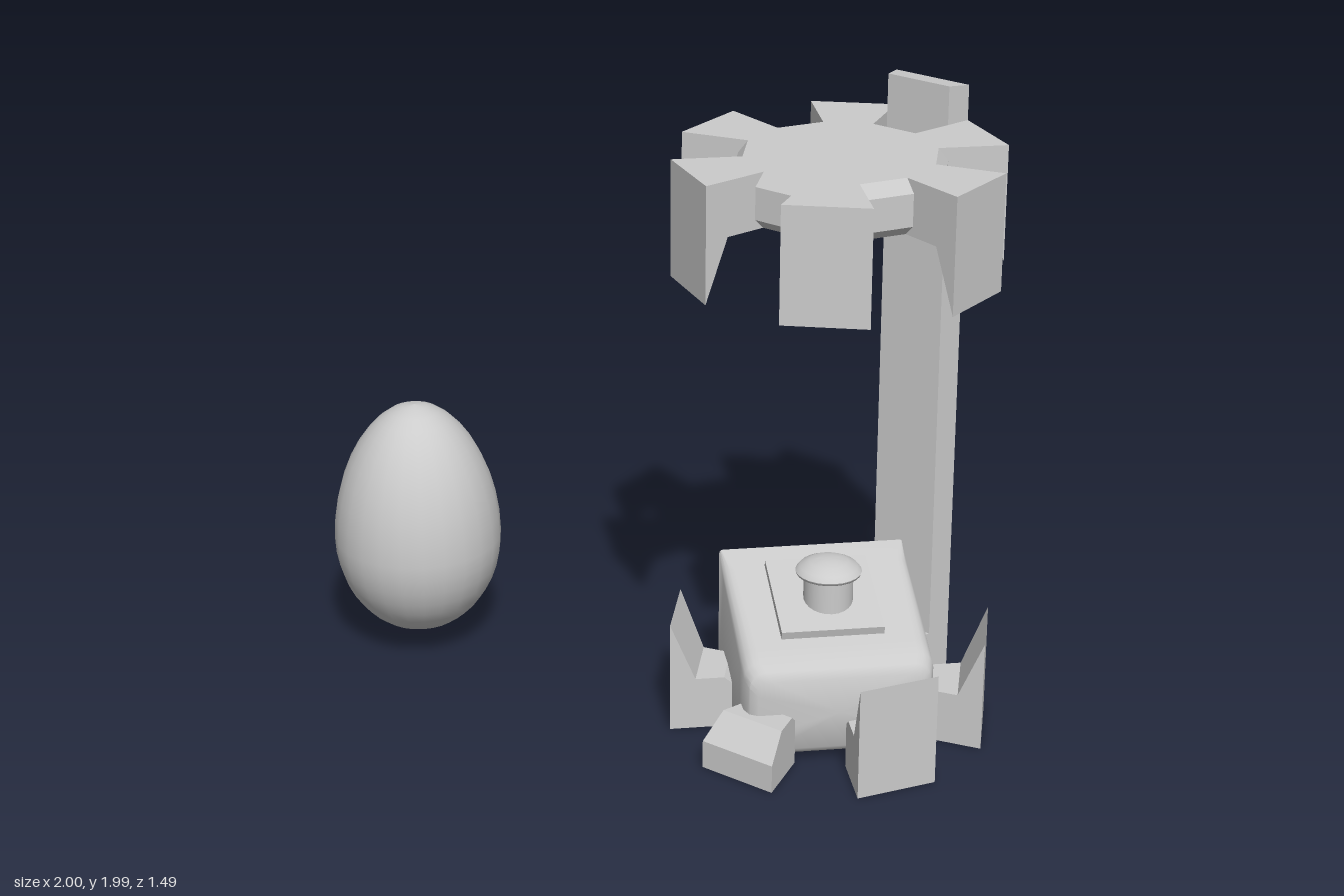
import * as THREE from 'three';
import { toCreasedNormals } from 'three/addons/utils/BufferGeometryUtils.js';

const CX = 0.5, CZ = 0.245, STEP = Math.PI / 6;
const smoothMat = new THREE.MeshStandardMaterial({ color: 0xcccccc });
const flatMat = new THREE.MeshStandardMaterial({ color: 0xcccccc, flatShading: true });

function add(parent, name, geometry, material, x = 0, y = 0, z = 0) {
  const mesh = new THREE.Mesh(geometry, material);
  mesh.name = name;
  mesh.position.set(x, y, z);
  parent.add(mesh);
  return mesh;
}

const vec = (pts) => pts.map(([x, y]) => new THREE.Vector2(x, y));

// Sweeps a (radius, height) profile through one 30 degree side of the twelve-sided ring
function wedge(profile, startStep) {
  const geo = new THREE.ExtrudeGeometry(new THREE.Shape(vec(profile)), { depth: 1, bevelEnabled: false });
  const p = geo.attributes.position;
  for (let i = 0; i < p.count; i++) {
    const r = p.getX(i), a = (startStep + p.getZ(i)) * STEP;
    p.setXYZ(i, r * Math.cos(a), p.getY(i), r * Math.sin(a));
  }
  geo.computeVertexNormals();
  return geo;
}

// Rounded rectangle cross-section at depth z
function section({ z, w, y0, y1, r }) {
  const ring = [];
  for (let c = 0; c < 4; c++) {
    const sx = c === 0 || c === 3 ? 1 : -1, top = c < 2;
    for (let k = 0; k <= 4; k++) {
      const a = (c + k / 4) * Math.PI / 2;
      ring.push([sx * (w - r) + r * Math.cos(a), (top ? y1 - r : y0 + r) + r * Math.sin(a), z]);
    }
  }
  return ring;
}

// Skins the cross-sections, back to front, and closes both ends
function loft(sections) {
  const rings = sections.map(section);
  const closing = (s) => section({ ...s, w: 0, y0: (s.y0 + s.y1) / 2, y1: (s.y0 + s.y1) / 2, r: 0 });
  rings.unshift(closing(sections[0]));
  rings.push(closing(sections[sections.length - 1]));
  const n = rings[0].length, index = [];
  for (let i = 0; i < rings.length - 1; i++) {
    for (let j = 0; j < n; j++) {
      const a = i * n + j, b = i * n + (j + 1) % n;
      index.push(a, b, a + n, b, b + n, a + n);
    }
  }
  const geo = new THREE.BufferGeometry();
  geo.setAttribute('position', new THREE.Float32BufferAttribute(rings.flat(2), 3));
  geo.setIndex(index);
  return toCreasedNormals(geo, 0.7);
}

export function createModel() {
  const model = new THREE.Group();

  // Egg, blunter below than above
  const eggProfile = [];
  for (let i = 0; i <= 20; i++) {
    const a = -Math.PI / 2 + (i / 20) * Math.PI, u = Math.sin(a);
    const taper = u > 0 ? 1 - 0.07 * u * u : 1;
    eggProfile.push([Math.max(0, 0.27 * Math.cos(a) * taper), 0.385 + u * (u > 0 ? 0.455 : 0.325)]);
  }
  add(model, 'egg', new THREE.LatheGeometry(vec(eggProfile), 24), smoothMat, -0.73, 0, -0.475);

  // Upper ring: bevelled hub with six teeth hanging from alternate sides
  const canopy = new THREE.Group();
  canopy.name = 'canopy';
  canopy.position.set(CX, 0, CZ);
  model.add(canopy);
  const hub = [[0, 1.70], [0.29, 1.70], [0.32, 1.73], [0.32, 1.83], [0.29, 1.87], [0, 1.87]];
  add(canopy, 'canopyHub', new THREE.LatheGeometry(vec(hub), 12), flatMat);
  const hanging = [[0.28, 1.70], [0.42, 1.70], [0.5, 1.51], [0.5, 1.87], [0.28, 1.87]];
  for (let i = 0; i < 6; i++) add(canopy, 'canopyTooth', wedge(hanging, 2 * i + 1), flatMat);

  // Lower ring: four tall feet, one low foot, and the post rising from the last side
  const base = new THREE.Group();
  base.name = 'base';
  base.position.set(CX, 0, CZ);
  model.add(base);
  const foot = (outer) => [[0.3, 0], [0.5, 0], ...outer, [0.42, 0.17], [0.33, 0.17], [0.3, 0.145]];
  const tall = foot([[0.5, 0.36]]);
  for (const s of [0, 2, 6, 8]) add(base, 'tallFoot', wedge(tall, s), flatMat);
  add(base, 'lowFoot', wedge(foot([[0.5, 0.09]]), 4), flatMat);
  add(base, 'post', wedge(foot([[0.5, 1.98], [0.42, 1.99]]), 10), flatMat);

  // Box with a sloping top, square at the back and rounded at the front
  const body = loft([
    { z: -0.04, w: 0.295, y0: 0.02, y1: 0.472, r: 0.012 },
    { z: 0.05, w: 0.295, y0: 0.015, y1: 0.445, r: 0.035 },
    { z: 0.4, w: 0.295, y0: 0.015, y1: 0.345, r: 0.05 },
    { z: 0.46, w: 0.293, y0: 0.018, y1: 0.326, r: 0.05 },
    { z: 0.492, w: 0.28, y0: 0.03, y1: 0.308, r: 0.05 },
    { z: 0.507, w: 0.255, y0: 0.05, y1: 0.28, r: 0.045 },
  ]);
  add(model, 'boxBody', body, smoothMat, 0.49, 0, 0);

  // Tilted lid panel
  const lid = add(model, 'lidPanel', new THREE.BoxGeometry(0.32, 0.032, 0.34), flatMat, 0.487, 0.409, 0.207);
  lid.rotation.x = 0.265;

  // Mushroom knob
  const stem = [[0.077, 0.38], [0.077, 0.5]];
  add(model, 'knobStem', new THREE.LatheGeometry(vec(stem), 24), smoothMat, 0.495, 0, 0.23);
  const cap = [[0, 0.497], [0.08, 0.497], [0.1, 0.506], [0.103, 0.514], [0.09, 0.53], [0.06, 0.545], [0.03, 0.552], [0, 0.554]];
  add(model, 'knobCap', toCreasedNormals(new THREE.LatheGeometry(vec(cap), 24), 0.9), smoothMat, 0.495, 0, 0.23);

  return model;
}
